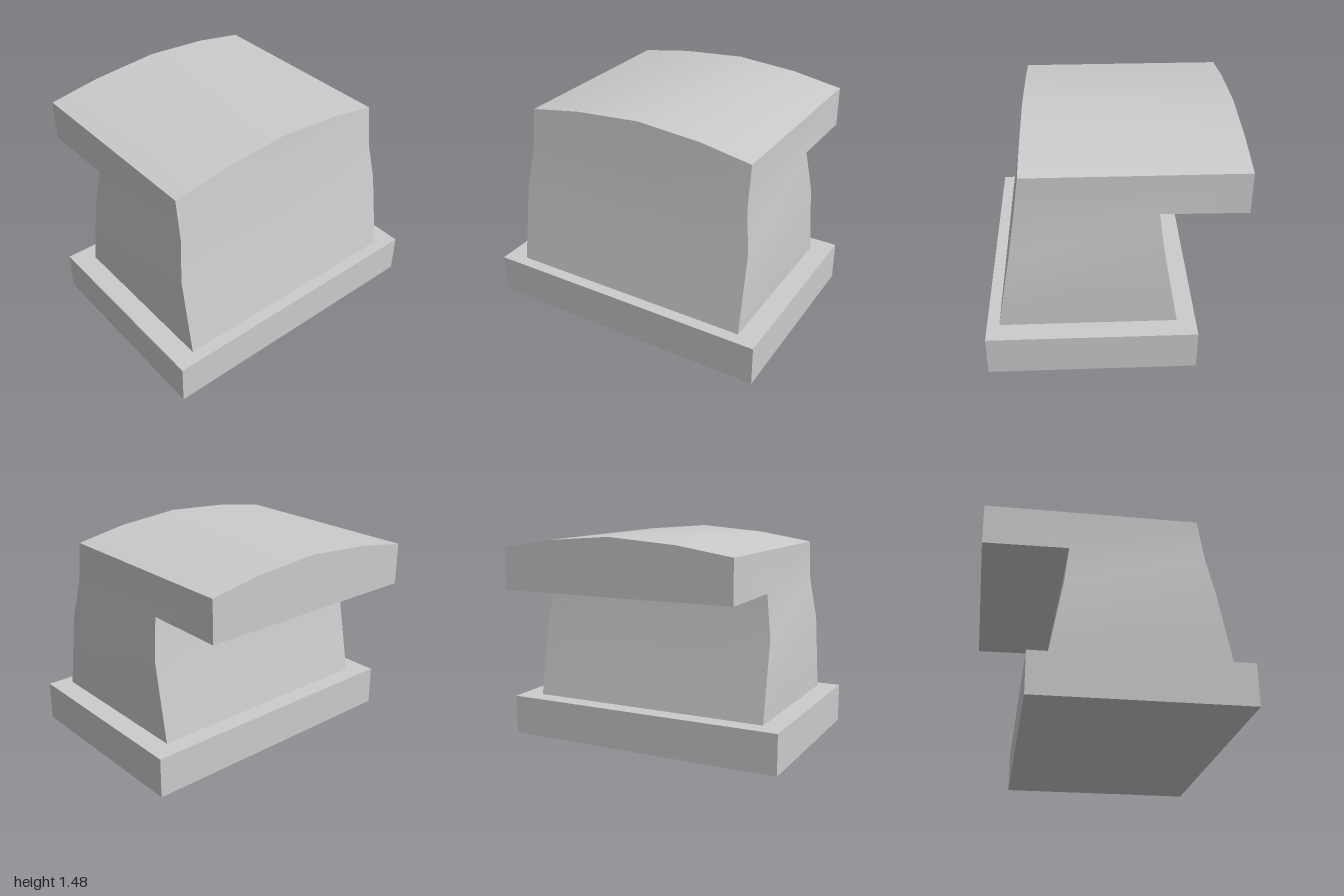
import * as THREE from 'three';
import { toCreasedNormals } from 'three/addons/utils/BufferGeometryUtils.js';

// Side outline of the body: [z, y, half width, share of the crown rise]
const OUTLINE = [
  [0.755, 0.277, 0.855, 0], // 0 front foot
  [0.66, 0.82, 0.855, 0],
  [0.615, 1.1, 0.815, 0],
  [0.575, 1.38, 0.815, 1], // 3 front top edge
  [-0.836, 1.378, 0.815, 0.96], // 4 back top edge
  [-0.836, 1.096, 0.815, 0], // 5 overhang underside
  [-0.28, 1.102, 0.815, 0],
  [-0.315, 0.82, 0.855, 0],
  [-0.415, 0.277, 0.855, 0], // 8 back foot
];

// Columns across the width: [fraction of half width, crown rise]
const COLUMNS = [[-1, 0], [-0.55, 0.06], [0.025, 0.097], [0.57, 0.062], [1, 0]];

// Faces of one side wall, as indices into the outline
const SIDE = [[0, 8, 7, 1], [1, 7, 6, 2], [2, 6, 4, 3], [6, 5, 4]];

function bodyGeometry() {
  const n = OUTLINE.length;
  const positions = [];
  const index = [];
  for (const [u, rise] of COLUMNS) {
    for (const [z, y, halfWidth, crown] of OUTLINE) {
      positions.push(u * halfWidth, y + rise * crown, z);
    }
  }
  const face = (c) => {
    for (let i = 1; i < c.length - 1; i++) index.push(c[0], c[i], c[i + 1]);
  };

  // Skin running around the outline, column to column
  for (let k = 0; k < COLUMNS.length - 1; k++) {
    const a = k * n;
    const b = a + n;
    for (let i = 0; i < n; i++) {
      const j = (i + 1) % n;
      face([a + i, b + i, b + j, a + j]);
    }
  }

  // Left wall, and the right wall with reversed corners
  const last = (COLUMNS.length - 1) * n;
  for (const corners of SIDE) {
    face(corners.map((c) => c + last));
    face([...corners].reverse());
  }

  const geometry = new THREE.BufferGeometry();
  geometry.setAttribute('position', new THREE.Float32BufferAttribute(positions, 3));
  geometry.setIndex(index);
  return toCreasedNormals(geometry, 0.6);
}

export function createModel() {
  const group = new THREE.Group();
  const material = new THREE.MeshStandardMaterial({ color: 0xcccccc });

  // Rectangular plinth
  const plinth = new THREE.Mesh(new THREE.BoxGeometry(2, 0.277, 1.376), material);
  plinth.position.set(0, 0.1385, 0.148);
  plinth.name = 'plinth';

  // Tapered body with crowned top and rear overhang
  const body = new THREE.Mesh(bodyGeometry(), material);
  body.name = 'body';

  group.add(plinth, body);
  return group;
}
